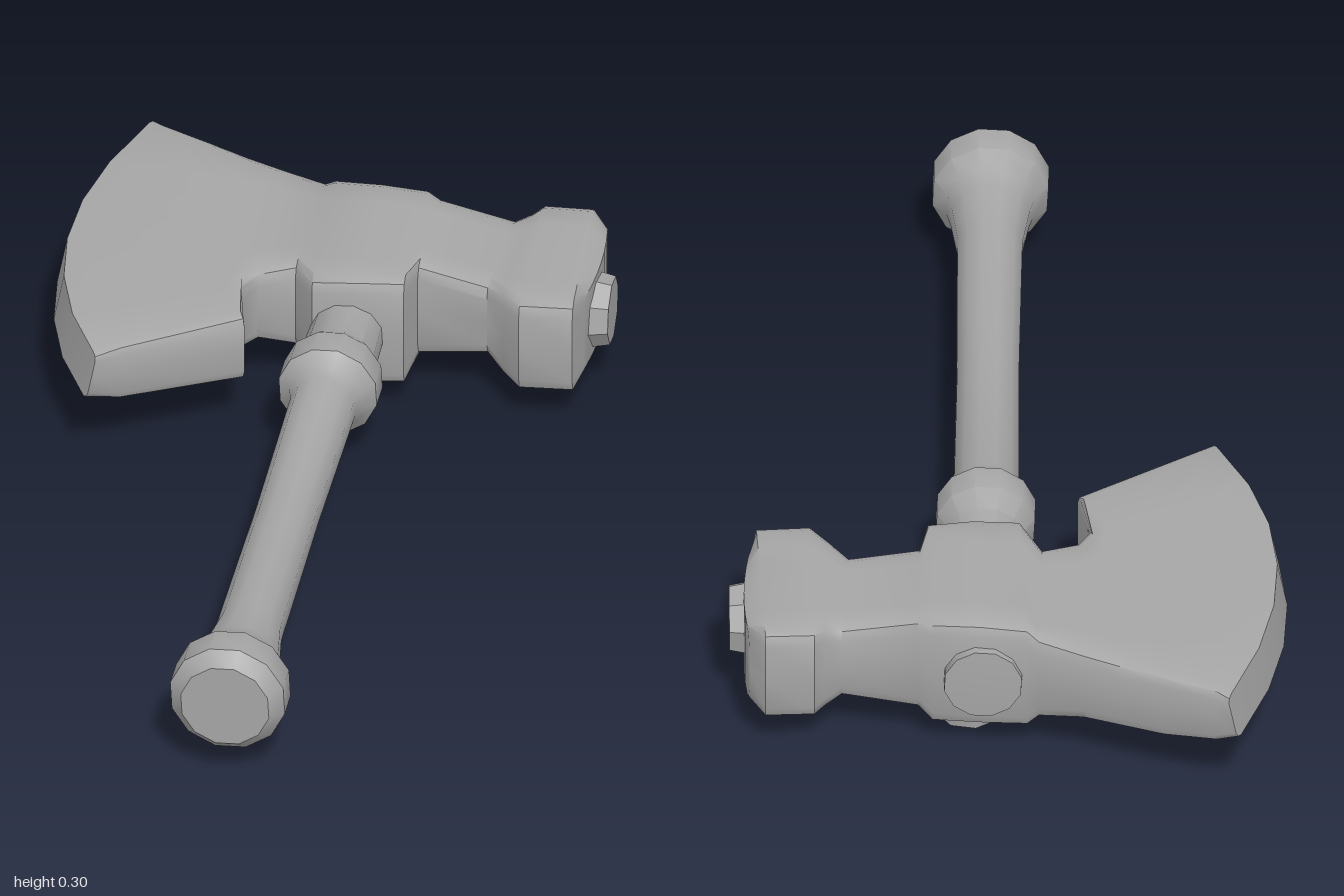
import * as THREE from 'three';
import { toCreasedNormals } from 'three/addons/utils/BufferGeometryUtils.js';

// Rounded-rectangle cross-section running from plan point b (back) to f (front),
// bowed along x by bulge, between heights y0 and y1, with corner size c.
function ring({ b, f, y0, y1, bulge = 0, c = 0.03, slant = 0 }) {
  const half = Math.hypot(f[0] - b[0], f[1] - b[1]) / 2;
  const hy = (y1 - y0) / 2, cu = c / half, cv = Math.min(0.8, c / hy), w = 1 - cu;
  const quarter = [[1, 0], [1, 1 - cv], [1 - 0.3 * cu, 1 - 0.3 * cv], [w, 1], [w * 0.66, 1], [w * 0.33, 1]];
  const upper = [...quarter, [0, 1], ...quarter.slice().reverse().map(([u, v]) => [-u, v])];
  const lower = upper.slice(1, -1).reverse().map(([u, v]) => [u, -v]);
  return [...upper, ...lower].map(([u, v]) => {
    const s = (u + 1) / 2;
    return [
      b[0] + (f[0] - b[0]) * s + bulge * (1 - u * u) + slant * v,
      (y0 + y1) / 2 + hy * v,
      b[1] + (f[1] - b[1]) * s,
    ];
  });
}

// Skin a row of sections and close both ends with strips.
function loft(sections, crease) {
  const rings = sections.map(ring), n = rings[0].length, last = rings.length - 1;
  const index = [];
  for (let i = 0; i < last; i++) {
    for (let j = 0; j < n; j++) {
      const a = i * n + j, d = i * n + (j + 1) % n;
      index.push(a, a + n, d, a + n, d + n, d);
    }
  }
  for (let j = 0; j < n / 2; j++) {
    const p = j, q = j + 1, r = (n - j - 1) % n, s = (n - j) % n, o = last * n;
    index.push(p, q, r, p, r, s);
    index.push(o + p, o + r, o + q, o + p, o + s, o + r);
  }
  const g = new THREE.BufferGeometry();
  g.setAttribute('position', new THREE.Float32BufferAttribute(rings.flat(2), 3));
  g.setIndex(index);
  return toCreasedNormals(g, crease);
}

export function createModel() {
  const group = new THREE.Group();
  const grey = new THREE.MeshStandardMaterial({ color: 0xa6a6a6 });
  grey.name = 'grey';
  const add = (name, geometry) => {
    const mesh = new THREE.Mesh(geometry, grey);
    mesh.name = name;
    group.add(mesh);
    return mesh;
  };

  // Axe head: blade edge, cheek, socket, neck and hammer poll, in order of x
  add('axeHead', loft([
    { b: [-0.36, -1.0], f: [-0.5, -0.15], y0: 0.165, y1: 0.267, bulge: -0.115, c: 0.015, slant: 0.01 },
    { b: [-0.33, -0.978], f: [-0.44, -0.173], y0: 0.145, y1: 0.272, bulge: -0.1, c: 0.02 },
    { b: [-0.24, -0.913], f: [-0.195, -0.27], y0: 0.122, y1: 0.273, bulge: -0.04, c: 0.025 },
    { b: [-0.17, -0.863], f: [-0.198, -0.385], y0: 0.115, y1: 0.273 },
    { b: [-0.1, -0.813], f: [-0.165, -0.425], y0: 0.11, y1: 0.275 },
    { b: [-0.02, -0.755], f: [-0.09, -0.44], y0: 0.085, y1: 0.28 },
    { b: [0.0, -0.74], f: [-0.06, -0.36], y0: 0.057, y1: 0.297 },
    { b: [0.09, -0.715], f: [0.03, -0.345], y0: 0.055, y1: 0.303 },
    { b: [0.18, -0.69], f: [0.12, -0.34], y0: 0.057, y1: 0.302 },
    { b: [0.205, -0.668], f: [0.15, -0.41], y0: 0.08, y1: 0.295 },
    { b: [0.35, -0.628], f: [0.285, -0.375], y0: 0.1, y1: 0.268 },
    { b: [0.385, -0.635], f: [0.315, -0.33], y0: 0.082, y1: 0.28 },
    { b: [0.41, -0.655], f: [0.345, -0.28], y0: 0.078, y1: 0.286 },
    { b: [0.505, -0.64], f: [0.45, -0.267], y0: 0.078, y1: 0.286 },
    { b: [0.53, -0.6], f: [0.472, -0.32], y0: 0.1, y1: 0.265, bulge: 0.012 },
  ], 0.75));

  // Handle with pommel, collar and the end that shows behind the socket
  const profile = [
    [0, 0], [0.09, 0], [0.117, 0.03], [0.117, 0.095], [0.088, 0.135], [0.08, 0.17],
    [0.066, 0.27], [0.063, 0.7], [0.066, 1.09], [0.075, 1.12], [0.1, 1.145], [0.1, 1.21],
    [0.076, 1.25], [0.072, 1.4], [0.085, 1.6], [0.078, 1.74], [0, 1.745],
  ].map(([r, t]) => new THREE.Vector2(r, t));
  const handle = add('handle', toCreasedNormals(new THREE.LatheGeometry(profile, 12), 0.7));
  handle.position.set(-0.27, 0.174, 0.97);
  handle.quaternion.setFromUnitVectors(
    new THREE.Vector3(0, 1, 0), new THREE.Vector3(0.21, 0, -1).normalize());

  // Tapered peg under the socket
  const peg = add('socketPeg', toCreasedNormals(new THREE.CylinderGeometry(0.077, 0.066, 0.1, 8), 0.8));
  peg.position.set(0.083, 0.05, -0.572);

  // Raised striking disc on the poll
  const disc = add('strikingDisc', toCreasedNormals(new THREE.CylinderGeometry(0.068, 0.08, 0.06, 8), 0.6));
  disc.position.set(0.505, 0.178, -0.425);
  disc.quaternion.setFromUnitVectors(
    new THREE.Vector3(0, 1, 0), new THREE.Vector3(1, 0, 0.19).normalize());

  return group;
}
